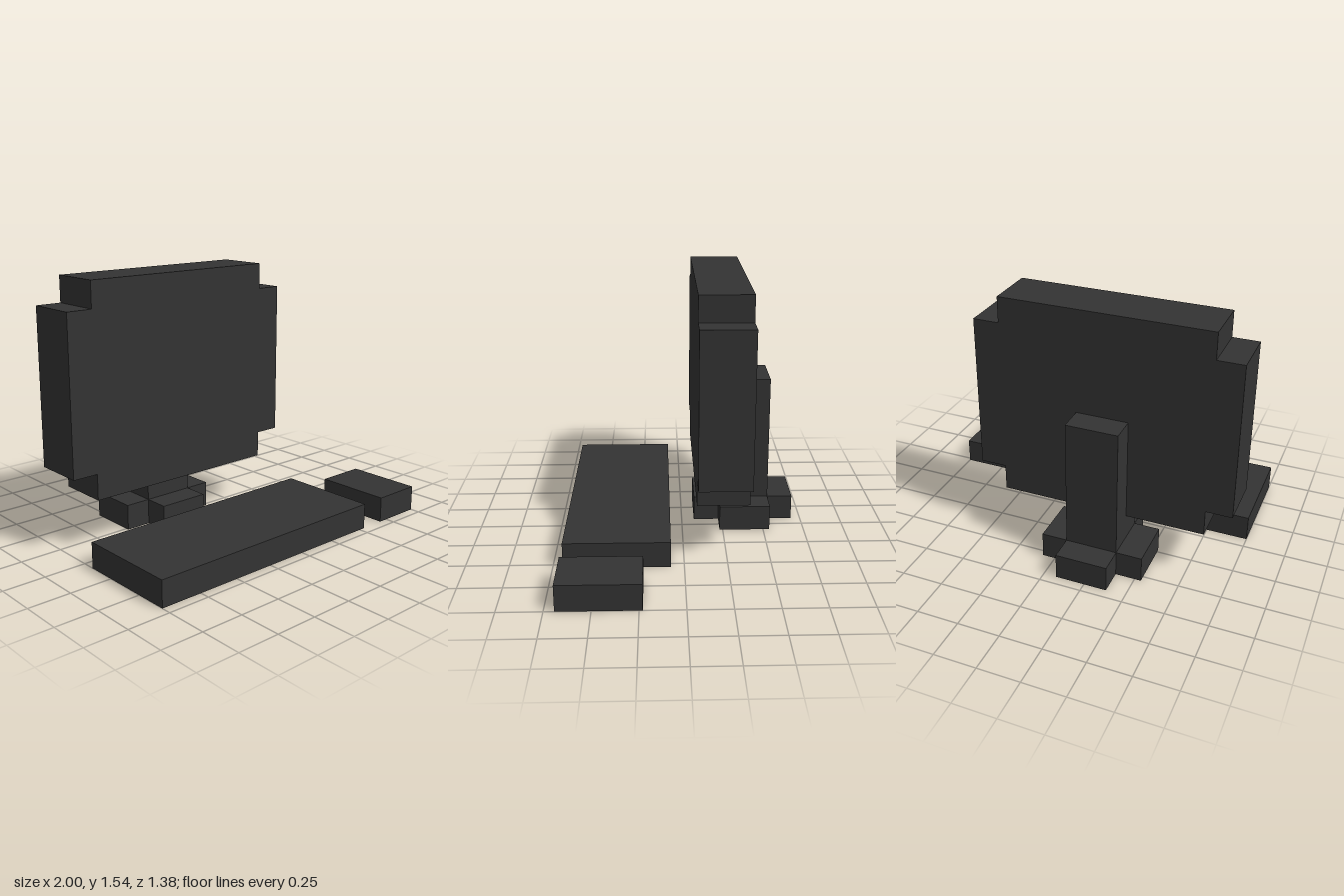
import * as THREE from 'three';

const U = 2 / 13; // one block of the grid

// Rectangle w x h with a square notch of n cut from each corner
function notchedShape(w, h, n) {
  const a = w / 2, b = h / 2;
  const pts = [
    [a - n, -b], [a - n, n - b], [a, n - b], [a, b - n], [a - n, b - n], [a - n, b],
    [n - a, b], [n - a, b - n], [-a, b - n], [-a, n - b], [n - a, n - b], [n - a, -b],
  ];
  return new THREE.Shape(pts.map(([x, y]) => new THREE.Vector2(x * U, y * U)));
}

export function createModel() {
  const group = new THREE.Group();
  const charcoal = new THREE.MeshStandardMaterial({ color: 0x333333 });

  function add(name, geometry, x, y, z) {
    const mesh = new THREE.Mesh(geometry, charcoal);
    mesh.name = name;
    mesh.position.set(x * U, y * U, z * U);
    group.add(mesh);
    return mesh;
  }
  const box = (w, h, d) => new THREE.BoxGeometry(w * U, h * U, d * U);
  const slab = (w, h, n, depth) =>
    new THREE.ExtrudeGeometry(notchedShape(w, h, n), { depth: depth * U, bevelEnabled: false });

  // Monitor with stepped corners
  add('monitor', slab(10, 8, 1, 2), -1.5, 6, -2.5);

  // Stand: column up the back of the monitor, on a cross-shaped foot
  add('standColumn', box(2, 5, 2), -1.5, 3.5, -2.5);
  const foot = slab(4, 4, 1, 1);
  foot.rotateX(-Math.PI / 2);
  add('standFoot', foot, -1.5, 0, -2.5);

  // Desk items in front
  add('keyboard', box(10, 1, 4), -1.5, 0.5, 2.5);
  add('mouse', box(2, 1, 3), 5.5, 0.5, 3);

  return group;
}
